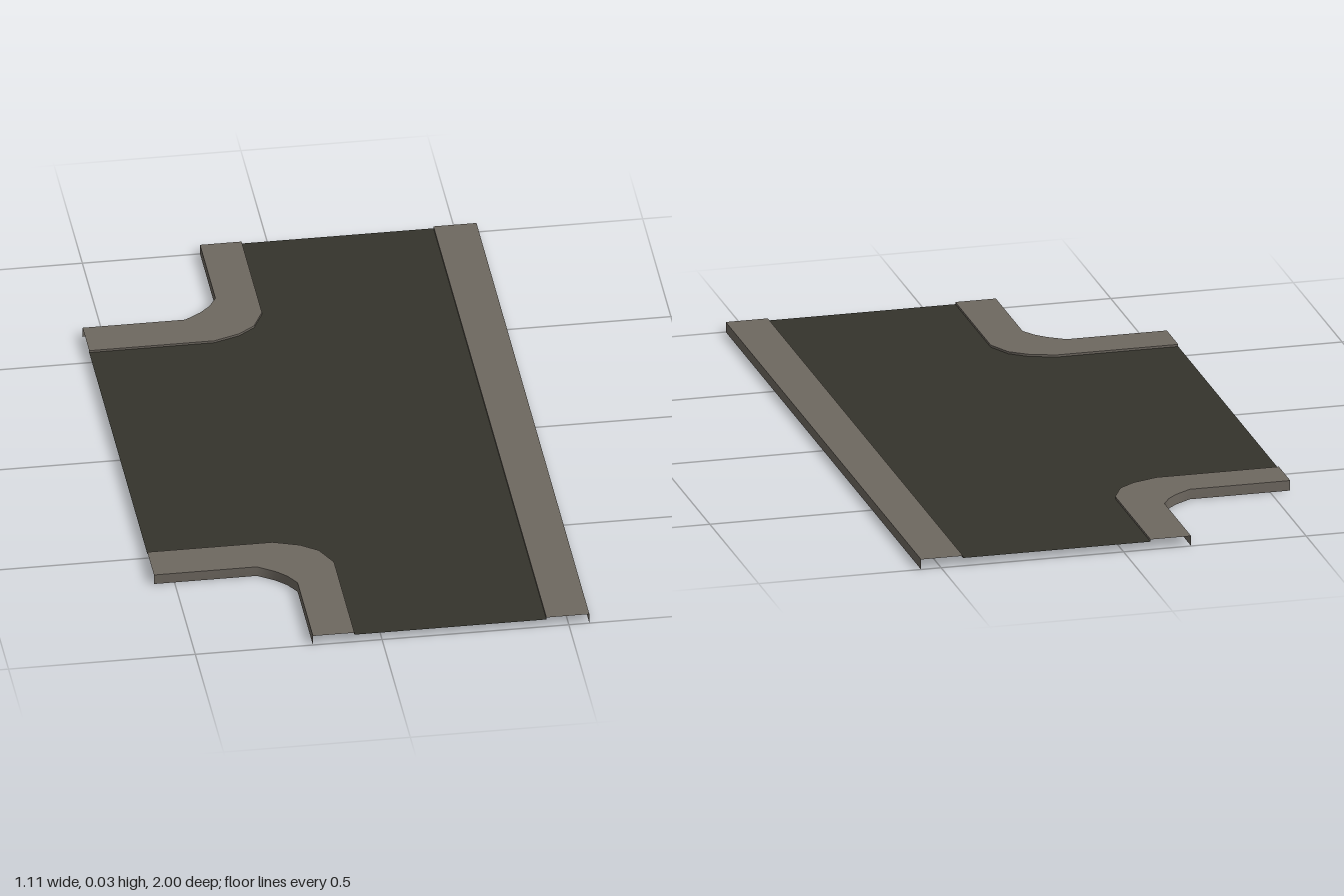
import * as THREE from 'three';

const ROAD_Y = 0.022, KERB_Y = 0.028;

// Surface between two polylines of equal length
function ribbon(a, b, material, name) {
  const pos = [], index = [];
  a.forEach((p, i) => {
    pos.push(...p, ...b[i]);
    if (i < a.length - 1) {
      const k = i * 2;
      index.push(k, k + 1, k + 2, k + 2, k + 1, k + 3);
    }
  });
  const geo = new THREE.BufferGeometry();
  geo.setAttribute('position', new THREE.Float32BufferAttribute(pos, 3));
  geo.setIndex(index);
  geo.computeVertexNormals();
  const mesh = new THREE.Mesh(geo, material);
  mesh.name = name;
  return mesh;
}

// Pavement: outer skirt, flat top and low kerb lip down to the road
function pavement(outer, inner, material, name) {
  const at = (path, y) => path.map(([x, z]) => [x, y, z]);
  const group = new THREE.Group();
  group.name = name;
  group.add(
    ribbon(at(outer, 0), at(outer, KERB_Y), material, 'outerSkirt'),
    ribbon(at(outer, KERB_Y), at(inner, KERB_Y), material, 'pavementTop'),
    ribbon(at(inner, KERB_Y), at(inner, ROAD_Y), material, 'kerbLip'));
  return group;
}

export function createModel() {
  const asphalt = new THREE.MeshStandardMaterial({ color: 0x35342c, side: THREE.DoubleSide });
  asphalt.name = 'asphalt';
  const concrete = new THREE.MeshStandardMaterial({ color: 0x6e6860, side: THREE.DoubleSide });
  concrete.name = 'concrete';
  const model = new THREE.Group();
  model.name = 'roadJunction';

  // Plan outlines [x, z] of the back corner; the front corner mirrors it
  const outer = [[-0.555, -0.632], [-0.28, -0.632], [-0.235, -0.662], [-0.207, -0.69], [-0.185, -0.727], [-0.185, -1]];
  const inner = [[-0.555, -0.515], [-0.22, -0.515], [-0.15, -0.54], [-0.105, -0.574], [-0.074, -0.638], [-0.074, -1]];
  const mirror = path => path.map(([x, z]) => [x, -z]).reverse();

  model.add(
    pavement(outer, inner, concrete, 'backCornerPavement'),
    pavement(mirror(outer), mirror(inner), concrete, 'frontCornerPavement'),
    pavement([[0.555, -1], [0.555, 1]], [[0.44, -1], [0.44, 1]], concrete, 'straightPavement'));

  // Road surface filling the space between the kerbs
  const outline = [...inner, [0.44, -1], [0.44, 1], ...mirror(inner)];
  const shape = new THREE.Shape(outline.map(([x, z]) => new THREE.Vector2(x, -z)));
  const road = new THREE.Mesh(new THREE.ShapeGeometry(shape).rotateX(-Math.PI / 2), asphalt);
  road.position.y = ROAD_Y;
  road.name = 'road';
  model.add(road);
  return model;
}
